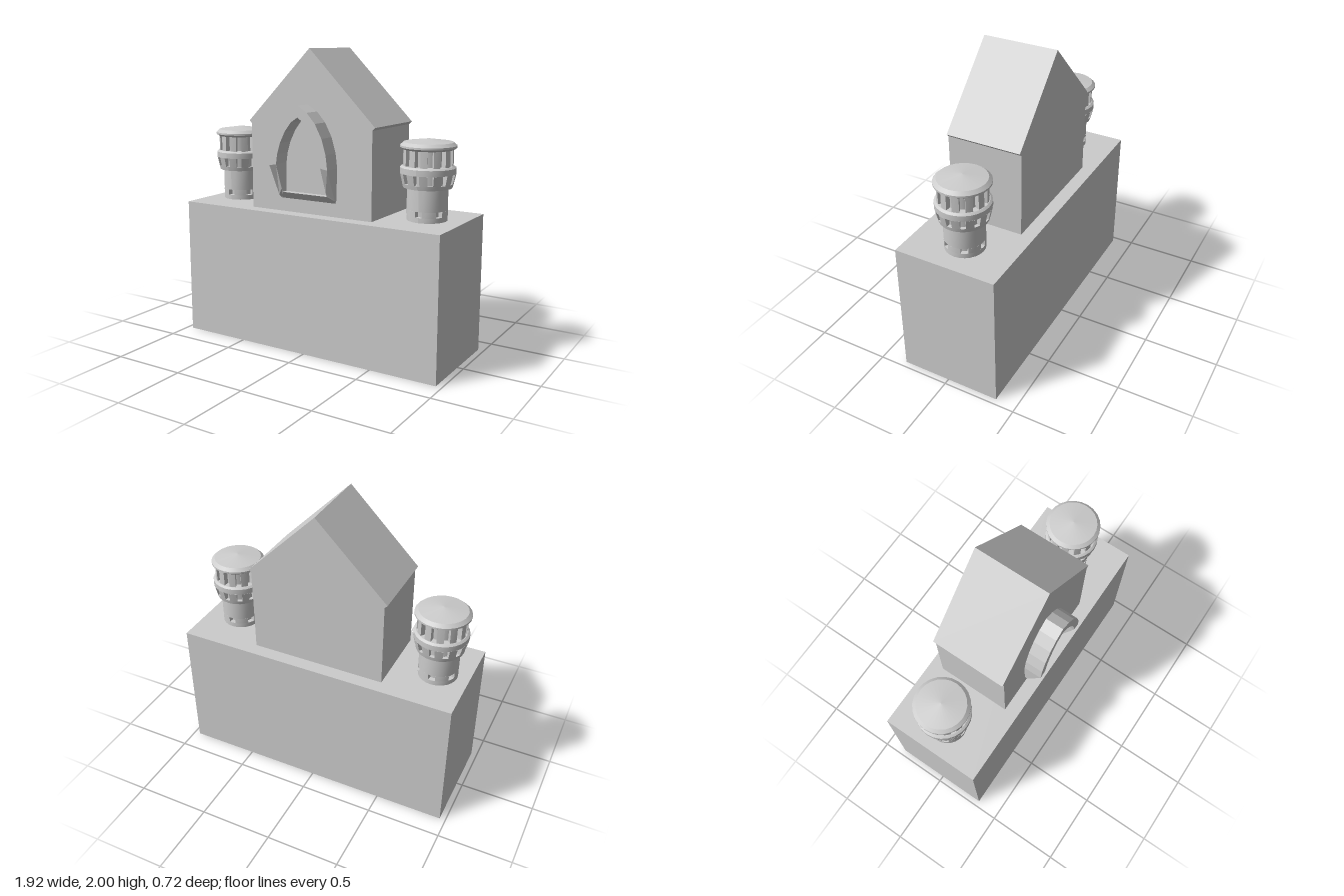
import * as THREE from 'three';
import { mergeGeometries } from 'three/addons/utils/BufferGeometryUtils.js';

const material = new THREE.MeshStandardMaterial({ color: 0xcccccc });
const thin = new THREE.MeshStandardMaterial({ color: 0xcccccc, side: THREE.DoubleSide });

function mesh(name, geometry, mat = material) {
  const m = new THREE.Mesh(geometry, mat);
  m.name = name;
  return m;
}

// Ring of n bent blocks from y0 to y1; outer radius runs r0 to r1, gap is the opening angle
function band(y0, y1, r0, r1, inner, n = 1, gap = 0, turn = 0) {
  const blocks = [];
  const arc = (Math.PI * 2) / n;
  for (let i = 0; i < n; i++) {
    const g = new THREE.BoxGeometry(1, 1, 1, Math.ceil(24 / n), 1, 1);
    const p = g.attributes.position;
    for (let k = 0; k < p.count; k++) {
      const a = turn + (i + 0.5) * arc + p.getX(k) * (arc - gap);
      const t = p.getY(k) + 0.5;
      const r = p.getZ(k) > 0 ? r0 + (r1 - r0) * t : inner;
      p.setXYZ(k, r * Math.sin(a), y0 + (y1 - y0) * t, r * Math.cos(a));
    }
    g.computeVertexNormals();
    blocks.push(g);
  }
  return mergeGeometries(blocks);
}

function drum(r, y0, y1) {
  return new THREE.CylinderGeometry(r, r, y1 - y0, 24).translate(0, (y0 + y1) / 2, 0);
}

function tower(name, x) {
  const g = new THREE.Group();
  g.name = name;
  // Shaft with six small recessed windows
  g.add(mesh('shaft', mergeGeometries([
    band(0.93, 0.968, 0.13, 0.13, 0.09),
    band(0.968, 1.005, 0.13, 0.13, 0.09, 6, 0.36),
    band(1.005, 1.15, 0.13, 0.13, 0.09),
    drum(0.1, 0.93, 1.15),
  ])));
  // Flared gallery with a row of openings
  g.add(mesh('gallery', mergeGeometries([
    band(1.145, 1.172, 0.155, 0.162, 0.1),
    band(1.172, 1.235, 0.162, 0.176, 0.1, 12, 0.22),
    band(1.235, 1.272, 0.176, 0.176, 0.1),
    band(1.272, 1.283, 0.176, 0.162, 0.1),
    drum(0.138, 1.15, 1.275),
  ])));
  // Open lantern with pillars
  g.add(mesh('lantern', mergeGeometries([
    band(1.28, 1.39, 0.157, 0.157, 0.11, 12, 0.24),
    drum(0.122, 1.28, 1.39),
  ])));
  // Cap: rim, bevel and low cone
  const cap = [[0, 1.385], [0.16, 1.385], [0.178, 1.398], [0.178, 1.41], [0.156, 1.43], [0, 1.452]];
  g.add(mesh('cap', mergeGeometries(cap.slice(1).map((b, i) => new THREE.LatheGeometry(
    [new THREE.Vector2(...cap[i]), new THREE.Vector2(...b)], 24)))));
  g.position.set(x, 0, -0.017);
  return g;
}

// Pointed window surround whose lower legs and sill slope back to the wall
function windowFrame() {
  const wall = 0.235;
  const outer = [[0, 1.648], [0.07, 1.606], [0.13, 1.54], [0.178, 1.45], [0.208, 1.35], [0.22, 1.255], [0.214, 1.045], [0.205, 1.02]];
  const inner = [[0, 1.573], [0.05, 1.54], [0.097, 1.48], [0.135, 1.405], [0.158, 1.33], [0.168, 1.265], [0.17, 1.1], [0.17, 1.073]];
  const mirror = (pts) => [...pts, ...pts.slice(1).reverse().map(([x, y]) => [-x, y])];
  const front = (y) => y > 1.25 ? 0.36
    : y > 1.07 ? 0.285 + 0.075 * (y - 1.07) / 0.18
      : wall + 0.05 * (y - 1.02) / 0.05;
  const o = mirror(outer), n = mirror(inner);
  const v = [];
  const quad = (a, b, c, d) => v.push(...a, ...b, ...c, ...a, ...c, ...d);
  o.forEach((p, i) => {
    const j = (i + 1) % o.length;
    const at = (q, z = front(q[1])) => [q[0], q[1], z];
    quad(at(p), at(n[i]), at(n[j]), at(o[j]));
    quad(at(p, wall), at(p), at(o[j]), at(o[j], wall));
    quad(at(n[i]), at(n[i], wall), at(n[j], wall), at(n[j]));
  });
  const g = new THREE.BufferGeometry();
  g.setAttribute('position', new THREE.Float32BufferAttribute(v, 3));
  g.computeVertexNormals();
  return g.translate(-0.014, 0, 0);
}

export function createModel() {
  const model = new THREE.Group();
  model.name = 'gatehouse';

  // Hollow base block, open underneath
  const base = new THREE.BoxGeometry(1.92, 0.936, 0.69).translate(0, 0.468, -0.012);
  base.setIndex([...base.index.array].filter((_, i) => i < 18 || i > 23));
  base.clearGroups();
  model.add(mesh('base', base, thin));

  // Gabled hall with slightly overhanging eaves
  const gable = new THREE.Shape([
    [-0.46, 0.93], [0.456, 0.93], [0.456, 1.505], [0.475, 1.524],
    [0, 2], [-0.478, 1.524], [-0.46, 1.505],
  ].map(([x, y]) => new THREE.Vector2(x, y)));
  model.add(mesh('hall', new THREE.ExtrudeGeometry(gable, { depth: 0.506, bevelEnabled: false })
    .translate(0, 0, -0.266)));

  model.add(mesh('windowFrame', windowFrame(), thin));
  model.add(tower('leftTower', 0.715), tower('rightTower', -0.75));
  return model;
}
